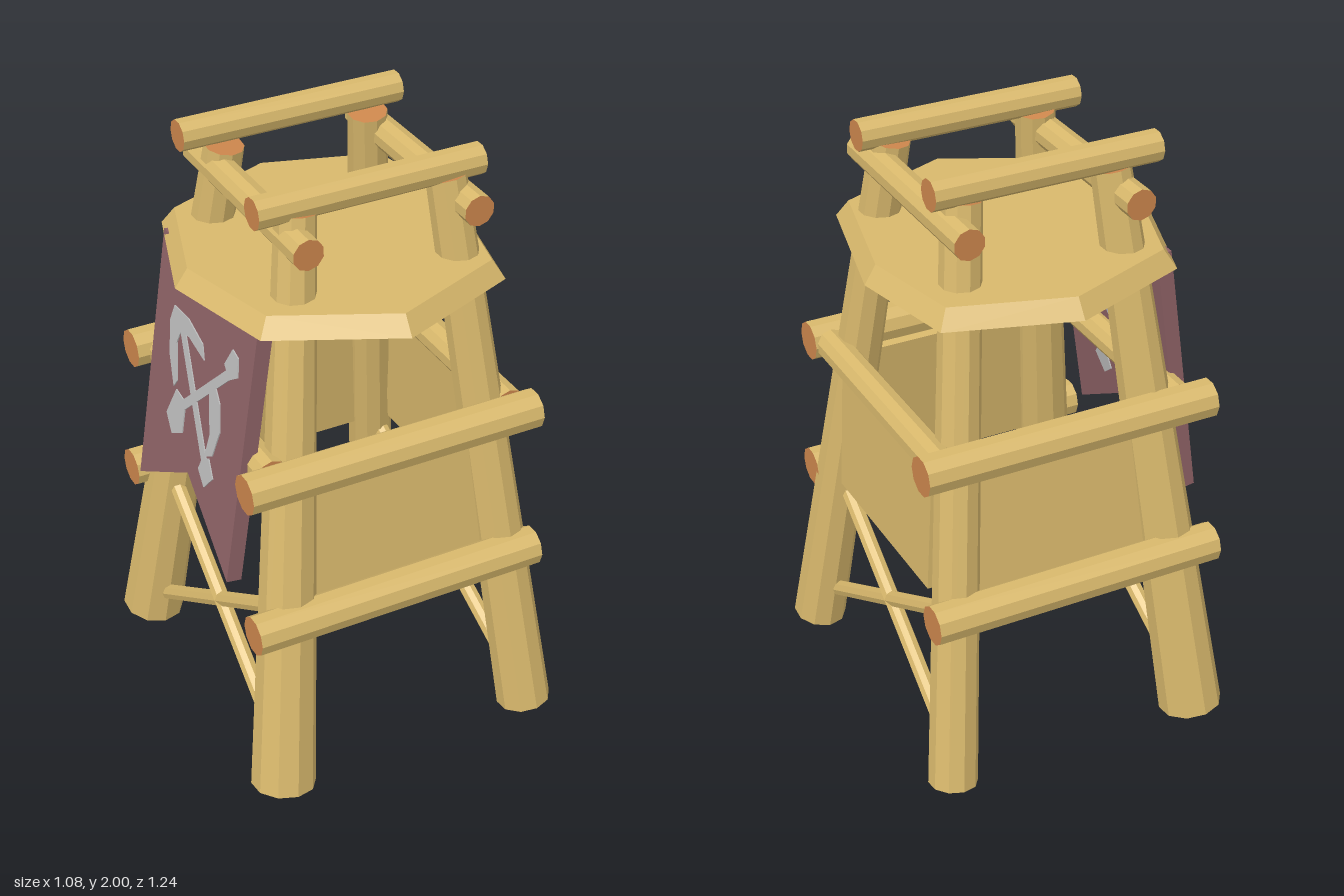
import * as THREE from 'three';
import { ConvexGeometry } from 'three/addons/geometries/ConvexGeometry.js';

const material = (name, color, side = THREE.FrontSide) =>
  Object.assign(new THREE.MeshStandardMaterial({ color, flatShading: true, side }), { name });

export function createModel() {
  const wood = material('wood', 0xd8b86c);
  const cutWood = material('cutWood', 0xcc864c);
  const cloth = material('cloth', 0x8e6266);
  const paint = material('emblemPaint', 0xbcbcbc);

  const tower = new THREE.Group();
  tower.name = 'watchtower';
  const V = (x, y, z) => new THREE.Vector3(x, y, z);

  const add = (name, geometry, mat, parent = tower) => {
    const mesh = new THREE.Mesh(geometry, mat);
    mesh.name = name;
    parent.add(mesh);
    return mesh;
  };

  // Round log from a to b with bare cut ends
  const log = (name, a, b, rA, rB = rA, sides = 10) => {
    const dir = b.clone().sub(a);
    const mesh = add(name, new THREE.CylinderGeometry(rB, rA, dir.length(), sides), [wood, cutWood, cutWood]);
    mesh.position.copy(a).add(b).multiplyScalar(0.5);
    mesh.quaternion.setFromUnitVectors(V(0, 1, 0), dir.normalize());
    return mesh;
  };

  // Tapered legs: base x, base z, base radius, top x, top z
  const legs = {
    frontRightLeg: [-0.44, 0.515, 0.105, -0.24, 0.24],
    frontLeftLeg: [0.455, 0.52, 0.09, 0.255, 0.24],
    backRightLeg: [-0.44, -0.515, 0.105, -0.24, -0.235],
    backLeftLeg: [0.435, -0.51, 0.08, 0.25, -0.235],
  };
  for (const [name, [x, z, r, tx, tz]] of Object.entries(legs)) {
    log(name, V(x, r * 0.18, z), V(tx, 1.9, tz), r, 0.063);
  }

  // Long beams across front and back
  for (const [y, zFront, zBack] of [[0.635, 0.497, -0.492], [1.14, 0.46, -0.433]]) {
    log('frontBeam', V(-0.525, y, zFront), V(0.467, y, zFront), 0.064);
    log('backBeam', V(-0.5, y, zBack), V(0.488, y, zBack), 0.064);
  }

  // Side rails and crossed braces
  for (const s of [-1, 1]) {
    const low = s > 0 ? 0.15 : 0.11;
    const high = s > 0 ? 0.6 : 0.63;
    log('sideRail', V(s * 0.41, 1.14, 0.41), V(s * 0.41, 1.14, -0.4), 0.052);
    log('sideBrace', V(s * 0.42, low, 0.44), V(s * 0.39, high, -0.4), 0.027, 0.027, 8);
    log('sideBrace', V(s * 0.425, low, -0.44), V(s * 0.385, high, 0.4), 0.027, 0.027, 8);
  }

  // Plank walls on three sides
  const front = add('frontWall', new THREE.BoxGeometry(0.72, 0.5, 0.03), wood);
  front.position.set(0, 0.87, 0.395);
  front.rotation.x = -0.12;
  const back = add('backWall', new THREE.BoxGeometry(0.7, 0.5, 0.03), wood);
  back.position.set(0, 0.87, -0.39);
  back.rotation.x = 0.12;
  const side = add('leftWall', new THREE.BoxGeometry(0.03, 0.46, 0.665), wood);
  side.position.set(0.405, 0.885, -0.008);
  side.rotation.z = 0.05;

  // Uneven eight-sided platform with sloping edge
  const outline = [
    [0.01, -0.545], [0.41, -0.42], [0.485, -0.06], [0.375, 0.405],
    [-0.035, 0.567], [-0.425, 0.38], [-0.52, 0], [-0.39, -0.39],
  ];
  const corners = outline.flatMap(([x, z]) => [V(x, 1.597, z), V(x * 0.92, 1.655, z * 0.92)]);
  add('platform', new ConvexGeometry(corners), wood);

  // Railing on top of the legs
  for (const x of [-0.265, 0.295]) log('topSideRail', V(x, 1.83, 0.372), V(x, 1.83, -0.378), 0.05);
  log('topFrontRail', V(-0.38, 1.93, 0.245), V(0.365, 1.93, 0.245), 0.05);
  log('topBackRail', V(-0.38, 1.95, -0.26), V(0.365, 1.95, -0.26), 0.05);

  // Swallow-tailed banner hanging on the right side
  const tilt = new THREE.Group();
  tilt.name = 'banner';
  tilt.position.set(-0.365, 1.6, 0.0135);
  tilt.rotation.z = -0.143;
  const banner = new THREE.Group();
  banner.name = 'bannerFace';
  banner.rotation.y = -Math.PI / 2;
  tilt.add(banner);
  tower.add(tilt);

  const plate = (points, depth) => new THREE.ExtrudeGeometry(
    new THREE.Shape(points.map(([x, y]) => new THREE.Vector2(x, y))), { depth, bevelEnabled: false });
  add('bannerCloth', plate(
    [[-0.33, 0.01], [-0.33, -0.875], [0, -0.68], [0.33, -0.875], [0.33, 0.01]], 0.05), cloth, banner);

  // Crossed tools painted on both faces of the banner
  const tools = {
    shovelShaft: [[0.19, -0.2], [-0.1, -0.48], [-0.075, -0.5], [0.21, -0.225]],
    shovelGrip: [[0.16, -0.2], [0.2, -0.13], [0.24, -0.14], [0.25, -0.2], [0.2, -0.235]],
    shovelBlade: [[-0.06, -0.46], [-0.13, -0.45], [-0.18, -0.56], [-0.13, -0.61], [-0.06, -0.57]],
    pickShaft: [[-0.15, -0.24], [-0.125, -0.215], [0.12, -0.57], [0.09, -0.59]],
    pickHead: [[0.03, -0.26], [0.01, -0.215], [-0.1, -0.185], [-0.2, -0.19], [-0.22, -0.25],
      [-0.2, -0.36], [-0.15, -0.45], [-0.13, -0.42], [-0.16, -0.3], [-0.14, -0.25], [-0.08, -0.24]],
    pickEnd: [[0.09, -0.57], [0.07, -0.62], [0.12, -0.66], [0.17, -0.6], [0.13, -0.55]],
    ribbon: [[0.08, -0.32], [0.12, -0.3], [0.16, -0.34], [0.18, -0.43], [0.15, -0.53], [0.1, -0.56],
      [0.12, -0.47], [0.1, -0.4]],
  };
  for (const [name, points] of Object.entries(tools)) {
    for (const z of [-0.004, 0.049]) add(name, plate(points, 0.005), paint, banner).position.z = z;
  }

  return tower;
}
